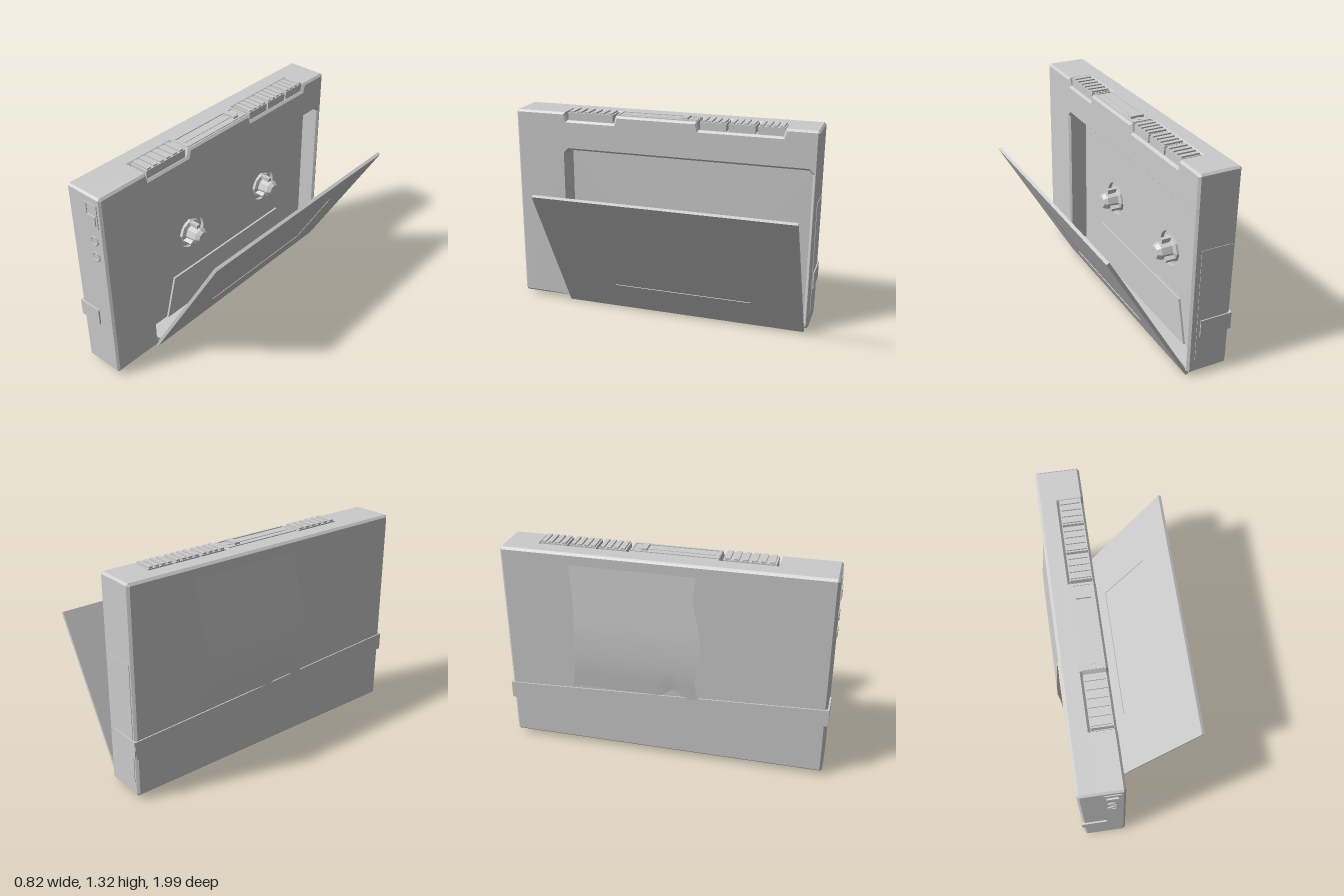
import * as THREE from 'three';

const mat = new THREE.MeshStandardMaterial({ color: 0xcccccc, side: THREE.DoubleSide });

export function createModel() {
  const root = new THREE.Group();

  const add = (name, geo, parent = root) => {
    const m = new THREE.Mesh(geo, mat);
    m.name = name;
    parent.add(m);
    return m;
  };
  // box given by its limits on each axis
  const box = (name, x0, x1, y0, y1, z0, z1, parent) => {
    const g = new THREE.BoxGeometry(x1 - x0, y1 - y0, z1 - z0);
    g.translate((x0 + x1) / 2, (y0 + y1) / 2, (z0 + z1) / 2);
    return add(name, g, parent);
  };
  const poly = (pts, Type = THREE.Shape) => new Type(pts.map(([a, b]) => new THREE.Vector2(a, b)));
  // rectangle with cut corners, drawn as (-z, y)
  const rect = (z0, z1, y0, y1, c = 0, Type = THREE.Shape) => {
    const [a, b] = [-z1, -z0];
    return poly(c ? [[a + c, y0], [b - c, y0], [b, y0 + c], [b, y1 - c], [b - c, y1], [a + c, y1], [a, y1 - c], [a, y0 + c]]
      : [[a, y0], [b, y0], [b, y1], [a, y1]], Type);
  };
  // extrude a (-z, y) shape between two x positions, with chamfered edges
  const slab = (name, shape, x0, x1, bevel = 0, parent = root) => {
    const g = new THREE.ExtrudeGeometry(shape, {
      depth: x1 - x0 - 2 * bevel, bevelEnabled: bevel > 0, bevelThickness: bevel,
      bevelSize: bevel, bevelOffset: -bevel, bevelSegments: 1, curveSegments: 24,
    });
    g.rotateY(Math.PI / 2).translate(x0 + bevel, 0, 0);
    return add(name, g, parent);
  };

  // case: back shell, and front shell with key notches and the tape bay
  slab('backShell', rect(-0.99, 0.98, 0.03, 1.31, 0.012), -0.37, -0.25, 0.014);
  const front = poly([
    [-0.968, 0.03], [0.978, 0.03], [0.99, 0.042], [0.99, 1.298], [0.978, 1.31],
    [0.785, 1.31], [0.77, 1.26], [0.25, 1.26], [0.235, 1.31],
    [-0.292, 1.31], [-0.307, 1.26], [-0.625, 1.26], [-0.64, 1.31],
    [-0.968, 1.31], [-0.98, 1.298], [-0.98, 0.042],
  ]);
  front.holes.push(rect(-0.96, 0.64, 0.05, 1.065, 0.025, THREE.Path));
  slab('frontShell', front, -0.278, -0.105, 0.013);

  // bay floor with round wells for the spindles
  const hubs = [[0.18, 0.6], [-0.53, 0.6]];
  const floor = rect(-0.97, 0.65, 0.04, 1.075);
  hubs.forEach(([z, y]) => floor.holes.push(new THREE.Path().absarc(-z, y, 0.11, 0, Math.PI * 2)));
  slab('bayFloor', floor, -0.252, -0.228);
  slab('bayRaisedPad', poly([[-0.44, 0.05], [0.76, 0.05], [0.68, 0.33], [-0.36, 0.33]]), -0.23, -0.215);

  // spindles with three drive fins
  for (const [z, y] of hubs) {
    const hub = new THREE.Group();
    hub.name = 'spindle';
    hub.position.set(-0.25, y, z);
    root.add(hub);
    const profile = [[0.085, 0], [0.085, 0.02], [0.06, 0.03], [0.055, 0.1], [0.038, 0.125], [0, 0.125]];
    const core = new THREE.LatheGeometry(profile.map(([r, h]) => new THREE.Vector2(r, h)), 8).toNonIndexed();
    core.computeVertexNormals();
    add('spindleCore', core.rotateZ(-Math.PI / 2), hub);
    for (let i = 0; i < 3; i++) {
      box('spindleFin', 0.02, 0.085, 0.03, 0.08, -0.013, 0.013, hub).rotation.x = i * Math.PI * 2 / 3;
    }
  }

  // open door hinged at the bottom, with window and inner lip
  const door = new THREE.Group();
  door.name = 'door';
  door.position.set(-0.112, 0.002, 0);
  door.rotation.z = -Math.atan2(0.52, 0.895);
  root.add(door);
  const panel = rect(-0.965, 0.64, 0, 1.038);
  panel.holes.push(rect(-0.64, 0.26, 0.24, 0.75, 0, THREE.Path));
  slab('doorPanel', panel, -0.02, 0, 0, door);
  slab('doorWindow', rect(-0.64, 0.26, 0.24, 0.75), -0.016, -0.004, 0, door);
  box('doorLip', -0.055, -0.01, 0.002, 0.02, -0.96, 0.635, door);

  // ribbed keys on the top edge
  for (const [z0, z1, ribs] of [[-0.78, -0.615, 4], [-0.6, -0.435, 4], [-0.42, -0.255, 4], [0.315, 0.62, 6]]) {
    box('key', -0.247, -0.122, 1.25, 1.31, z0, z1);
    const step = (z1 - z0) / ribs;
    for (let i = 0; i < ribs; i++) {
      const z = z0 + step * (i + 0.5);
      box('keyRib', -0.243, -0.126, 1.305, 1.32, z - step * 0.3, z + step * 0.3);
    }
  }

  // sliding control on the top edge: rim and knob
  for (const [x0, x1, z0, z1] of [[-0.247, -0.235, -0.23, 0.29], [-0.137, -0.125, -0.23, 0.29],
    [-0.235, -0.137, -0.23, -0.218], [-0.235, -0.137, 0.278, 0.29]]) {
    box('sliderRim', x0, x1, 1.3, 1.315, z0, z1);
  }
  box('sliderTrack', -0.2, -0.172, 1.3, 1.313, -0.2, 0.26);
  box('sliderKnob', -0.23, -0.142, 1.3, 1.325, -0.17, -0.135);

  // switch on the front end
  for (const [x0, x1, y0, y1] of [[-0.228, -0.216, 1.11, 1.26], [-0.146, -0.134, 1.11, 1.26],
    [-0.216, -0.146, 1.11, 1.122], [-0.216, -0.146, 1.248, 1.26]]) {
    box('switchRim', x0, x1, y0, y1, 0.97, 0.985);
  }
  box('switchKnob', -0.214, -0.148, 1.124, 1.185, 0.97, 0.99);

  // octagonal sockets on the front end
  for (const y of [1.01, 0.9]) {
    const ring = add('socketRing', new THREE.TorusGeometry(0.028, 0.006, 6, 8));
    ring.position.set(-0.18, y, 0.982);
    ring.rotation.z = Math.PI / 8;
    const disc = add('socketFace', new THREE.CylinderGeometry(0.024, 0.024, 0.01, 8).rotateX(Math.PI / 2));
    disc.position.set(-0.18, y, 0.978);
  }

  // slanting band across the back, wrapped round both ends
  slab('backBand', poly([[-0.985, 0.37], [0.995, 0.28], [0.995, 0.39], [-0.985, 0.48]]), -0.377, -0.365);
  box('bandFrontEnd', -0.374, -0.22, 0.37, 0.48, 0.97, 0.99);
  box('bandRearEnd', -0.374, -0.17, 0.28, 0.39, -1.0, -0.98);

  // cover plate on the rear end
  box('rearCover', -0.345, -0.15, 0.12, 0.85, -0.993, -0.98);

  // thin bowed flap on the back with uneven edges
  const flap = new THREE.PlaneGeometry(1, 1, 24, 24);
  const bow = new THREE.CatmullRomCurve3([[-0.374, 1.24], [-0.392, 1.05], [-0.412, 0.82], [-0.414, 0.62], [-0.4, 0.45]]
    .map(([x, y]) => new THREE.Vector3(x, y, 0)));
  const p = flap.attributes.position;
  for (let i = 0; i < p.count; i++) {
    const s = p.getX(i) + 0.5, t = 0.5 - p.getY(i);
    const c = bow.getPoint(t);
    const left = -0.57 + 0.03 * Math.sin(t * Math.PI);
    const right = 0.19 + 0.03 * t - 0.02 * Math.sin(t * Math.PI * 3);
    const notch = 0.06 * Math.max(0, 1 - Math.abs(s - 0.8) / 0.1) * t ** 6;
    p.setXYZ(i, c.x, c.y + notch, left + s * (right - left));
  }
  flap.computeVertexNormals();
  add('backFlap', flap);

  return root;
}
